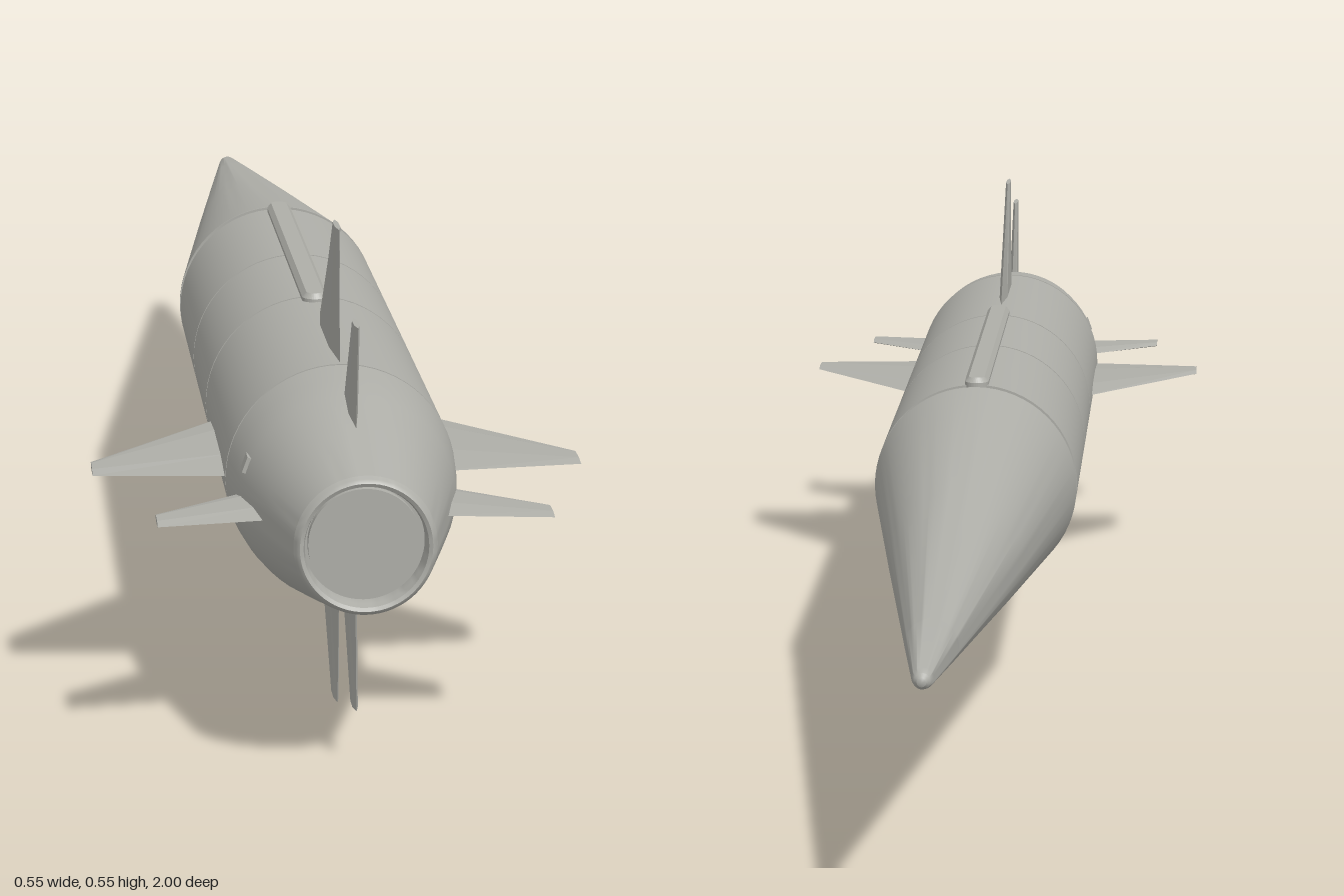
import * as THREE from 'three';
import { toCreasedNormals } from 'three/addons/utils/BufferGeometryUtils.js';

const AXIS_Y = 0.275; // height of the body axis
const R = 0.128; // main body radius

export function createModel() {
  const paint = new THREE.MeshStandardMaterial({ color: 0xaeaea8 });
  paint.name = 'grey paint';

  const model = new THREE.Group();
  model.name = 'missile';
  const body = new THREE.Group();
  body.name = 'airframe';
  body.position.y = AXIS_Y;
  model.add(body);

  const add = (name, geometry, parent = body) => {
    const mesh = new THREE.Mesh(geometry, paint);
    mesh.name = name;
    parent.add(mesh);
    return mesh;
  };

  // Surface of revolution about z from [radius, z] pairs
  const turned = (name, profile, crease = 0.5) => {
    const geometry = new THREE.LatheGeometry(profile.map(([r, z]) => new THREE.Vector2(r, z)), 64);
    geometry.rotateX(Math.PI / 2);
    add(name, toCreasedNormals(geometry, crease));
  };

  // Nose cone with rounded tip
  turned('noseTip', [[0, -1], [0.005, -0.998], [0.009, -0.992], [0.012, -0.98], [0.0295, -0.85]], 0.8);
  turned('noseCone', [[0.0295, -0.85], [0.08, -0.465], [R, -0.09]]);

  // Body sections separated by shallow seams
  const seam = (name, z, width, depth) =>
    turned(name, [[R, z - width / 2], [R - depth, z - width / 2], [R - depth, z + width / 2], [R, z + width / 2]]);
  const seams = [[-0.08, 0.014, 0.003], [0.19, 0.004, 0.002], [0.41, 0.004, 0.002], [0.73, 0.004, 0.001]];
  let start = -0.09;
  seams.forEach(([z, width, depth], i) => {
    turned('bodySection' + (i + 1), [[R, start], [R, z - width / 2]]);
    seam('seam' + (i + 1), z, width, depth);
    start = z + width / 2;
  });

  // Boat tail, rounded rim and recessed nozzle
  turned('boatTail', [[R, 0.732], [0.124, 0.775], [0.117, 0.82], [0.098, 0.9], [0.076, 0.99]]);
  turned('tailRim', [[0.076, 0.99], [0.074, 0.997], [0.07, 1], [0.066, 0.998], [0.064, 0.99], [0.064, 0.975]], 0.8);
  turned('nozzlePlate', [[0.064, 0.975], [0.06, 0.975], [0.06, 0.985], [0, 0.985]]);

  // Tapered six-sided blade; each section is [radius, leading z, trailing z, half thickness]
  const bladeGeometry = (root, tip) => {
    const loop = ([r, z0, z1, t]) =>
      [[0, 0], [1, 0.25], [1, 0.7], [0, 1], [-1, 0.7], [-1, 0.25]]
        .map(([side, f]) => [side * t, r, z0 + f * (z1 - z0)]);
    const a = loop(root), b = loop(tip), corners = [];
    for (let i = 0; i < 6; i++) {
      const j = (i + 1) % 6;
      corners.push(a[i], b[i], b[j], a[i], b[j], a[j]);
      if (i > 0 && i < 5) corners.push(b[0], b[i + 1], b[i]);
    }
    const geometry = new THREE.BufferGeometry();
    geometry.setAttribute('position', new THREE.Float32BufferAttribute(corners.flat(), 3));
    geometry.computeVertexNormals();
    return geometry;
  };

  // Four wings and four smaller tail fins
  const wing = bladeGeometry([0.1, 0.46, 0.722, 0.006], [0.274, 0.65, 0.705, 0.003]);
  const tailFin = bladeGeometry([0.085, 0.765, 0.89, 0.0055], [0.213, 0.86, 0.907, 0.003]);
  for (let i = 0; i < 4; i++) {
    add('wing' + (i + 1), wing).rotation.z = i * Math.PI / 2;
    add('tailFin' + (i + 1), tailFin).rotation.z = i * Math.PI / 2;
  }

  // Cable raceway along the top, with rounded ends and sloped edges
  const w = 0.01;
  const outline = new THREE.Shape();
  outline.absarc(0, 0.065, w, 0, Math.PI, false);
  outline.absarc(0, -0.425, w, Math.PI, Math.PI * 2, false);
  outline.closePath();
  const raceway = new THREE.ExtrudeGeometry(outline, {
    depth: 0.012, bevelThickness: 0.006, bevelSize: 0.005, bevelSegments: 1, curveSegments: 10,
  });
  raceway.rotateX(-Math.PI / 2);
  add('raceway', raceway).position.y = 0.1195;

  // Small lug on the right side of the boat tail
  const lug = add('lug', new THREE.BoxGeometry(0.006, 0.018, 0.02));
  const angle = Math.PI - 0.35;
  lug.position.set(0.118 * Math.cos(angle), 0.118 * Math.sin(angle), 0.81);
  lug.rotation.z = angle;

  return model;
}
